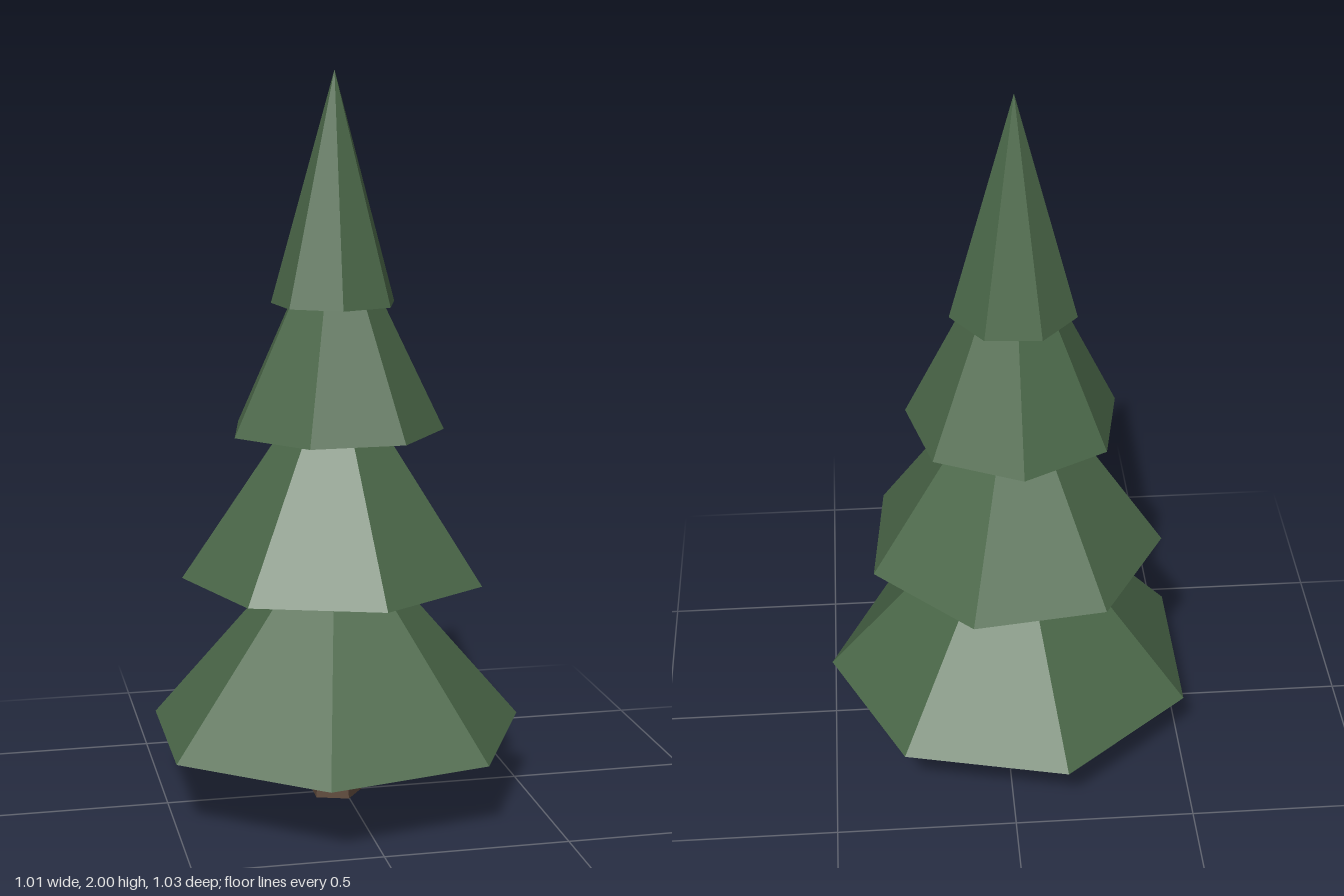
import * as THREE from 'three';

export function createModel() {
  const tree = new THREE.Group();
  tree.name = 'pineTree';

  const needles = new THREE.MeshStandardMaterial({ color: 0x4b6849, flatShading: true, side: THREE.DoubleSide });
  needles.name = 'needle green';
  const bark = new THREE.MeshStandardMaterial({ color: 0x5f4a3c, flatShading: true });
  bark.name = 'bark brown';

  // The trunk axis sits slightly off centre because the lowest skirt has seven sides
  const axisX = -0.026;
  const cornerToX = Math.PI / 2; // first corner points along +x

  // Tapered five-sided trunk, reaching up inside the lowest skirt
  const trunkHeight = 0.53;
  const trunk = new THREE.Mesh(
    new THREE.CylinderGeometry(0.05, 0.077, trunkHeight, 5, 1, false, cornerToX), bark);
  trunk.name = 'trunk';
  trunk.position.set(axisX, trunkHeight / 2, 0);
  tree.add(trunk);

  // Hollow seven-sided branch skirts, each twisted a little further: [rim height, radius]
  const skirtHeight = 0.62;
  const skirts = [[0.192, 0.529], [0.63, 0.421], [1.036, 0.297], [1.38, 0.173]];
  skirts.forEach(([rimY, radius], i) => {
    const skirt = new THREE.Mesh(
      new THREE.ConeGeometry(radius, skirtHeight, 7, 1, true, cornerToX), needles);
    skirt.name = `branchSkirt${i + 1}`;
    skirt.position.set(axisX, rimY + skirtHeight / 2, 0);
    skirt.rotation.y = 0.35 * i;
    tree.add(skirt);
  });

  return tree;
}
